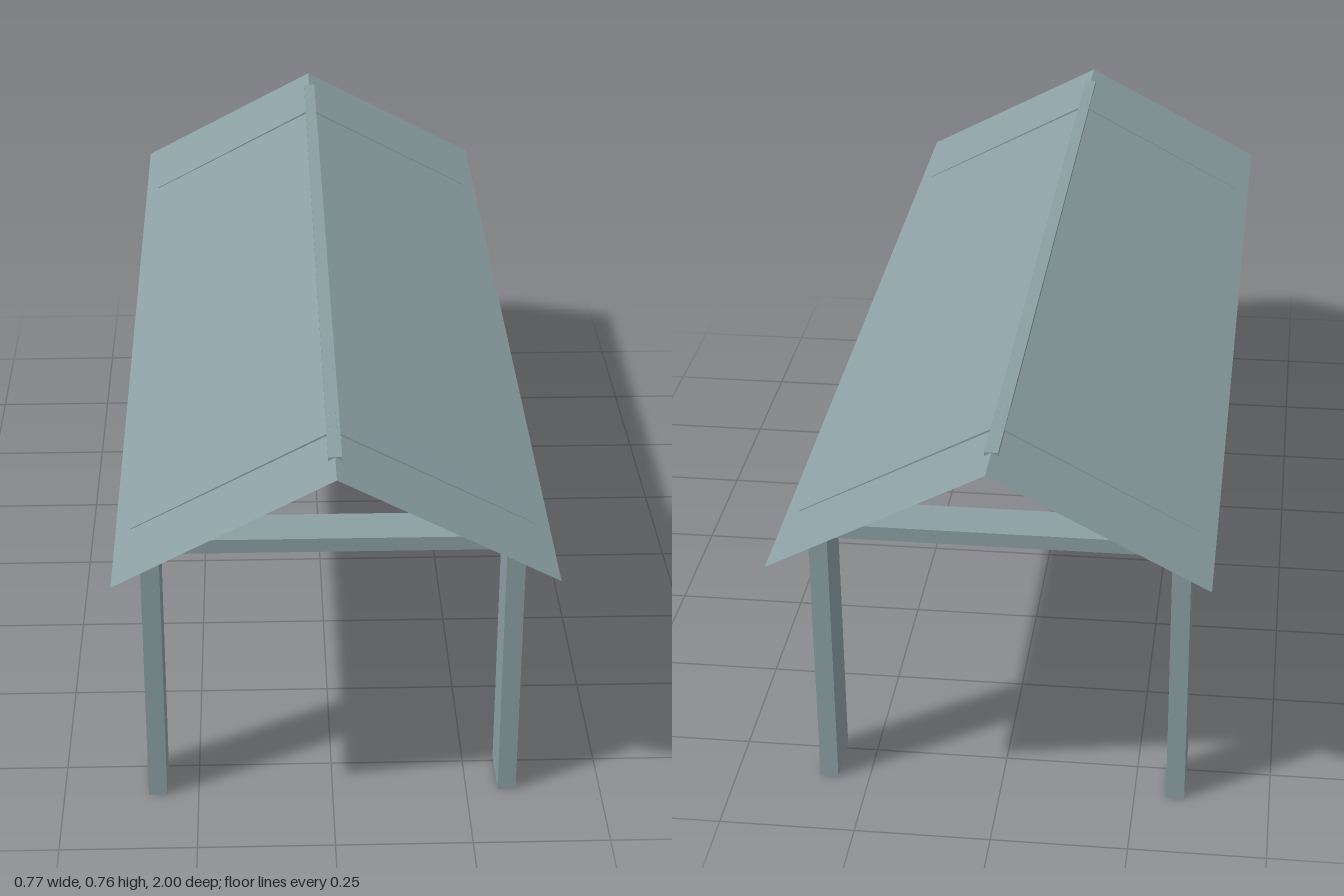
import * as THREE from 'three';

export function createModel() {
  const model = new THREE.Group();
  model.name = 'openShelter';
  const steel = new THREE.MeshStandardMaterial({ color: 0x8b9fa3, side: THREE.DoubleSide });
  steel.name = 'blueGrey';

  const add = (name, geometry, x, y, z, tilt = 0) => {
    const mesh = new THREE.Mesh(geometry, steel);
    mesh.name = name;
    mesh.position.set(x, y, z);
    mesh.rotation.z = tilt;
    model.add(mesh);
    return mesh;
  };
  // Box given by its lower and upper limits on each axis
  const block = (name, x0, x1, y0, y1, z0, z1) =>
    add(name, new THREE.BoxGeometry(x1 - x0, y1 - y0, z1 - z0),
      (x0 + x1) / 2, (y0 + y1) / 2, (z0 + z1) / 2);

  // Tilted member whose top face runs from a (near the ridge) to b (at the eave)
  const sloped = (name, side, a, b, thick, depth, z) => {
    const dx = b[0] - a[0], dy = b[1] - a[1], length = Math.hypot(dx, dy);
    const geometry = thick
      ? new THREE.BoxGeometry(length, thick, depth)
      : new THREE.PlaneGeometry(length, depth).rotateX(-Math.PI / 2);
    const cx = (a[0] + b[0]) / 2 + (dy / length) * thick / 2;
    const cy = (a[1] + b[1]) / 2 - (dx / length) * thick / 2;
    add(name, geometry, side * cx, cy, z, side * Math.atan2(dy, dx));
  };

  for (const side of [-1, 1]) {
    const hand = side > 0 ? 'left' : 'right';

    // Thin roof sheet
    sloped(hand + 'RoofSheet', side, [0, 0.757], [0.385, 0.554], 0, 2, 0);

    // Long wall plate carrying the rafters
    const plate = block(hand + 'WallPlate', 0.311, 0.338, 0.544, 0.561, -0.83, 0.83);
    plate.position.x *= side;

    for (const end of [-1, 1]) {
      const place = hand + (end > 0 ? 'Front' : 'Back');
      // Post
      const post = block(place + 'Post', 0.309, 0.343, 0, 0.556, 0.738, 0.84);
      post.position.x *= side;
      post.position.z *= end;
      // Rafter, slightly proud of the roof sheet
      sloped(place + 'Rafter', side, [0.006, 0.7577], [0.358, 0.57], 0.03, 0.087, end * 0.787);
    }
  }

  // Tie beams between the posts
  for (const end of [-1, 1]) {
    const tie = block(end > 0 ? 'frontTieBeam' : 'backTieBeam', -0.309, 0.309, 0.517, 0.544, 0.743, 0.83);
    tie.position.z *= end;
  }

  // Ridge beam
  block('ridgeBeam', -0.012, 0.012, 0.732, 0.7575, -0.92, 0.92);

  return model;
}
